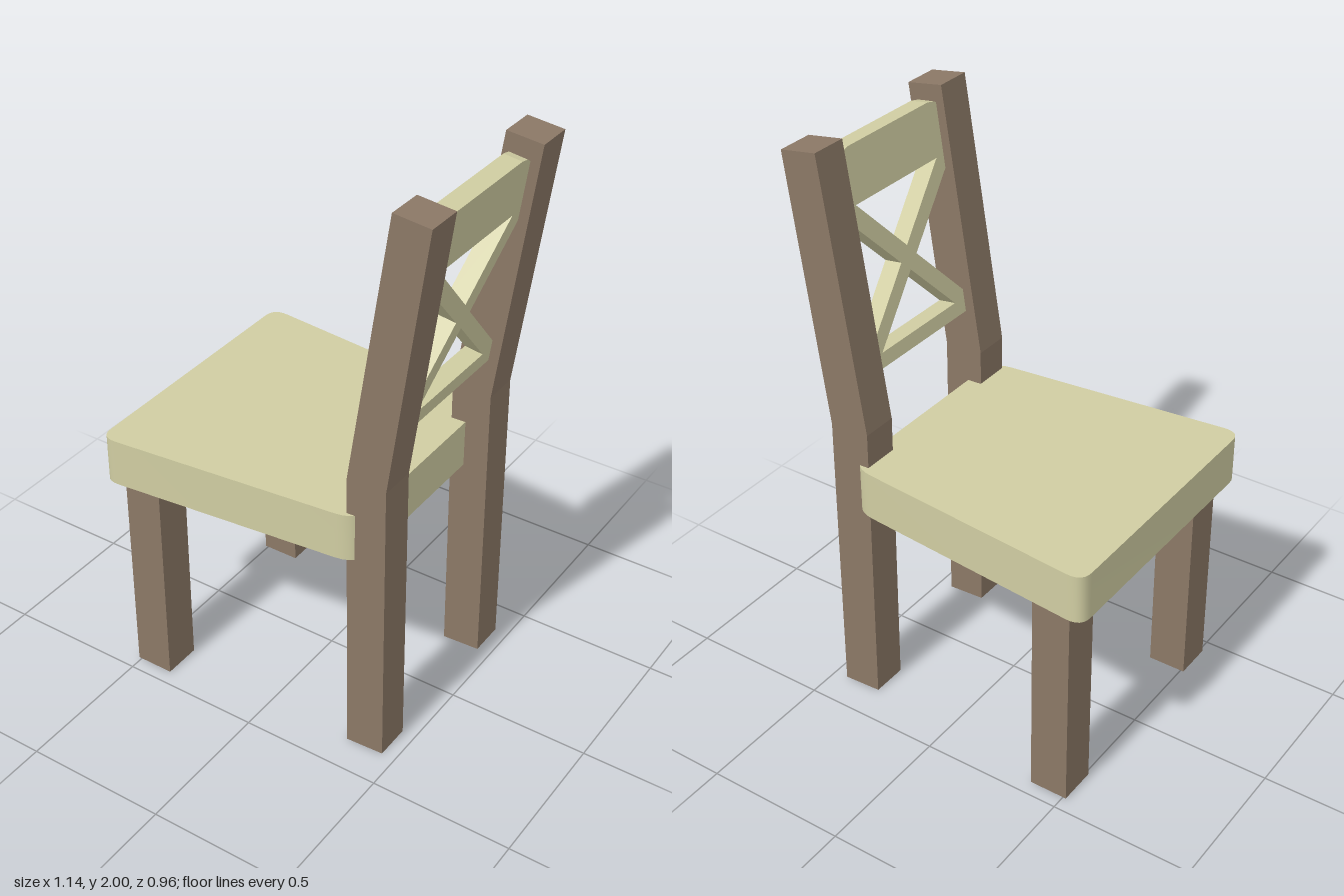
import * as THREE from 'three';
import { toCreasedNormals } from 'three/addons/utils/BufferGeometryUtils.js';

const wood = new THREE.MeshStandardMaterial({ color: 0x8b7866 });
const cream = new THREE.MeshStandardMaterial({ color: 0xd0cda2 });

const polygon = (points) => new THREE.Shape(points.map(([x, y]) => new THREE.Vector2(x, y)));
const extrude = (shape, depth) =>
  new THREE.ExtrudeGeometry(shape, { depth, bevelEnabled: false, curveSegments: 6 });

function addPart(group, name, geometry, material) {
  const mesh = new THREE.Mesh(geometry, material);
  mesh.name = name;
  group.add(mesh);
  return mesh;
}

// Tapered seat slab with rounded corners, wider at the front (-x)
function seatGeometry() {
  const s = new THREE.Shape();
  s.moveTo(-0.575, -0.43);
  s.quadraticCurveTo(-0.575, -0.485, -0.515, -0.479);
  s.lineTo(0.28, -0.401);
  s.quadraticCurveTo(0.36, -0.393, 0.36, -0.32);
  s.lineTo(0.36, 0.32);
  s.quadraticCurveTo(0.36, 0.393, 0.28, 0.401);
  s.lineTo(-0.515, 0.479);
  s.quadraticCurveTo(-0.575, 0.485, -0.575, 0.43);
  s.closePath();
  const g = extrude(s, 0.17).rotateX(-Math.PI / 2).translate(0, 0.767, 0);
  return toCreasedNormals(g, 0.6);
}

// Rear leg running up into the raked back post, turned very slightly
function backPostGeometry(z) {
  const profile = polygon([
    [0.317, 0], [0.45, 0], [0.445, 1.06], [0.57, 1.983], [0.445, 2], [0.308, 1.06],
  ]);
  const g = extrude(profile, 0.128).translate(0, 0, z - 0.064);
  const p = g.attributes.position;
  for (let i = 0; i < p.count; i++) p.setZ(i, p.getZ(i) - 0.05 * (p.getX(i) - 0.38));
  g.computeVertexNormals();
  return g;
}

// Back panel: top rail, bottom rail and crossed bars left between four triangular holes
function backPanelGeometry() {
  const panel = polygon([
    [-0.26, 0], [0.26, 0], [0.26, 0.725], [0.235, 0.742], [0.2, 0.75],
    [-0.2, 0.75], [-0.235, 0.742], [-0.26, 0.725],
  ]);
  panel.holes.push(
    polygon([[-0.207, 0.562], [0.207, 0.562], [0, 0.344]]),
    polygon([[-0.197, 0.052], [0, 0.259], [0.197, 0.052]]),
  );
  for (const s of [-1, 1]) {
    panel.holes.push(polygon([[s * 0.04, 0.299], [s * 0.254, 0.524], [s * 0.254, 0.074]]));
  }
  return extrude(panel, 0.065).rotateY(Math.PI / 2);
}

export function createModel() {
  const chair = new THREE.Group();
  chair.name = 'chair';

  addPart(chair, 'seat', seatGeometry(), cream);

  // Legs, mirrored across z
  for (const s of [-1, 1]) {
    const side = s > 0 ? 'Left' : 'Right';
    const leg = addPart(chair, 'frontLeg' + side, new THREE.BoxGeometry(0.136, 0.78, 0.136), wood);
    leg.position.set(-0.443, 0.39, s * 0.38);
    addPart(chair, 'backPost' + side, backPostGeometry(s * 0.3115), wood);
  }

  // Panel leans back with the posts
  const panel = addPart(chair, 'backPanel', backPanelGeometry(), cream);
  panel.rotation.z = -0.137;
  panel.position.set(0.365, 1.208, 0);

  return chair;
}
